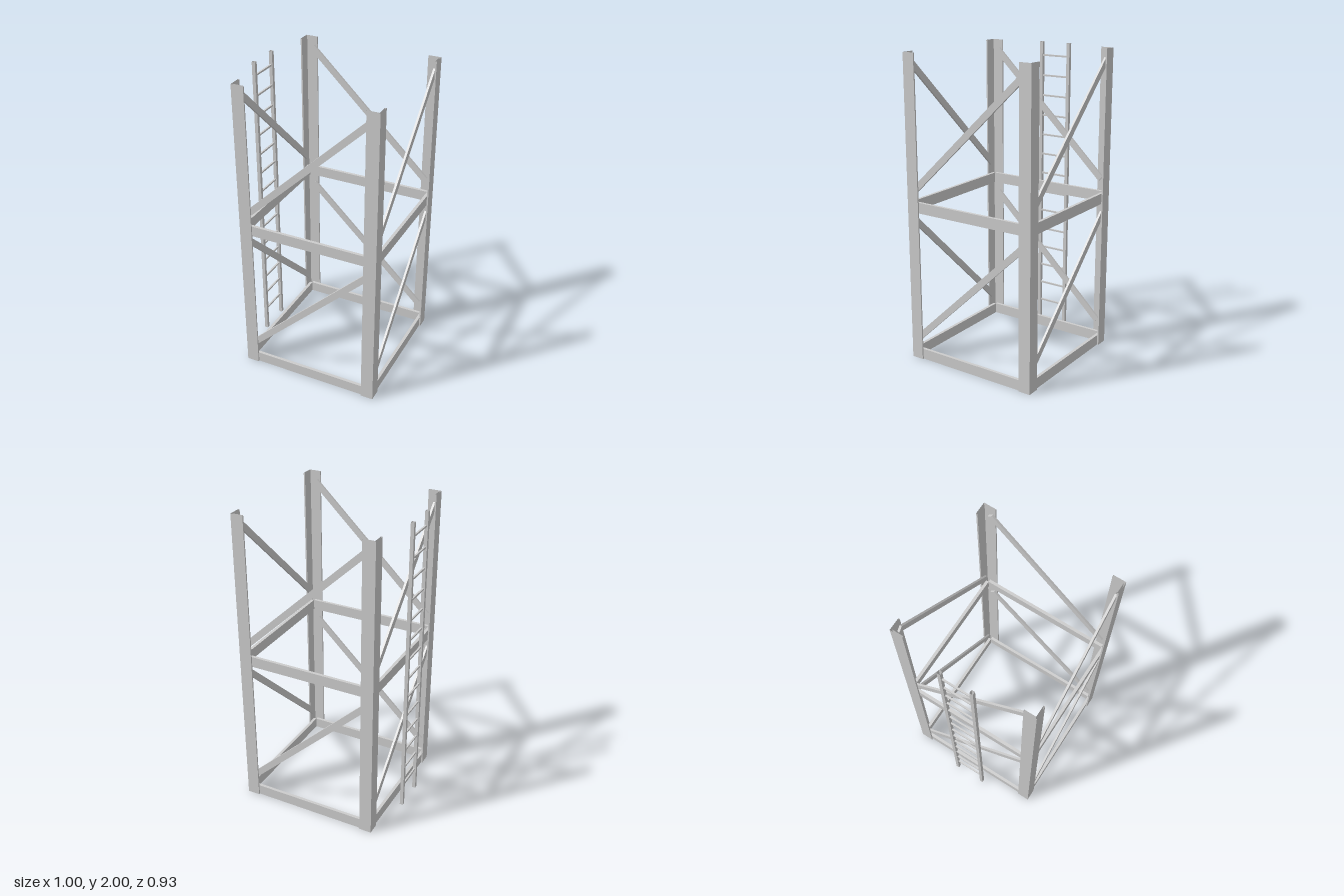
import * as THREE from 'three';

const material = new THREE.MeshStandardMaterial({ color: 0xcccccc });
const sheet = new THREE.MeshStandardMaterial({ color: 0xcccccc, side: THREE.DoubleSide });

function box(parent, name, w, h, d, x, y, z) {
  const mesh = new THREE.Mesh(new THREE.BoxGeometry(w, h, d), material);
  mesh.name = name;
  mesh.position.set(x, y, z);
  parent.add(mesh);
  return mesh;
}

// Upright section with open ends: an [x, z] outline raised to a height
function openSection(outline, height) {
  const pos = [];
  outline.forEach(([ax, az], i) => {
    const [bx, bz] = outline[(i + 1) % outline.length];
    pos.push(ax, 0, az, bx, 0, bz, bx, height, bz);
    pos.push(ax, 0, az, bx, height, bz, ax, height, az);
  });
  const geo = new THREE.BufferGeometry();
  geo.setAttribute('position', new THREE.Float32BufferAttribute(pos, 3));
  geo.computeVertexNormals();
  return geo;
}

export function createModel() {
  const model = new THREE.Group();
  model.name = 'towerSection';

  const height = 2;
  const outer = 0.463;           // centre to outer face of the posts
  const leg = 0.082;             // width of each post flange
  const inner = outer - 0.0095;  // inner face of the flanges

  // Angle-section corner post
  const postGeo = openSection([
    [outer, outer], [outer, outer - leg], [inner, outer - leg],
    [inner, inner], [outer - leg, inner], [outer - leg, outer],
  ], height);

  // Four identical sides turned around the tower axis
  const frame = new THREE.Group();
  frame.name = 'frame';
  frame.position.x = 0.032;
  model.add(frame);
  for (let i = 0; i < 4; i++) {
    const side = new THREE.Group();
    side.name = 'frameSide';
    side.rotation.y = i * Math.PI / 2;
    frame.add(side);

    const post = new THREE.Mesh(postGeo, sheet);
    post.name = 'cornerPost';
    side.add(post);

    for (const y of [0, 1]) {
      box(side, 'crossRail', 0.868, 0.07, 0.02, 0, y + 0.035, inner - 0.01);
      const brace = box(side, 'diagonalBrace', 1.134, 0.042, 0.014, 0, y + 0.541, 0.445);
      brace.rotation.z = Math.atan(0.954);
    }
  }

  // Ladder beside the tower
  const ladder = new THREE.Group();
  ladder.name = 'ladder';
  ladder.position.x = -0.489;
  model.add(ladder);
  const s = 0.011;
  const stileGeo = openSection([[s, s], [s, -s], [-s, -s], [-s, s]], height);
  for (const z of [-0.103, 0.103]) {
    const stile = new THREE.Mesh(stileGeo, sheet);
    stile.name = 'ladderStile';
    stile.position.z = z;
    ladder.add(stile);
  }
  for (let i = 0; i < 14; i++) {
    box(ladder, 'ladderRung', 0.011, 0.011, 0.208, 0, 0.16 + i * 0.1347, 0);
  }

  return model;
}
